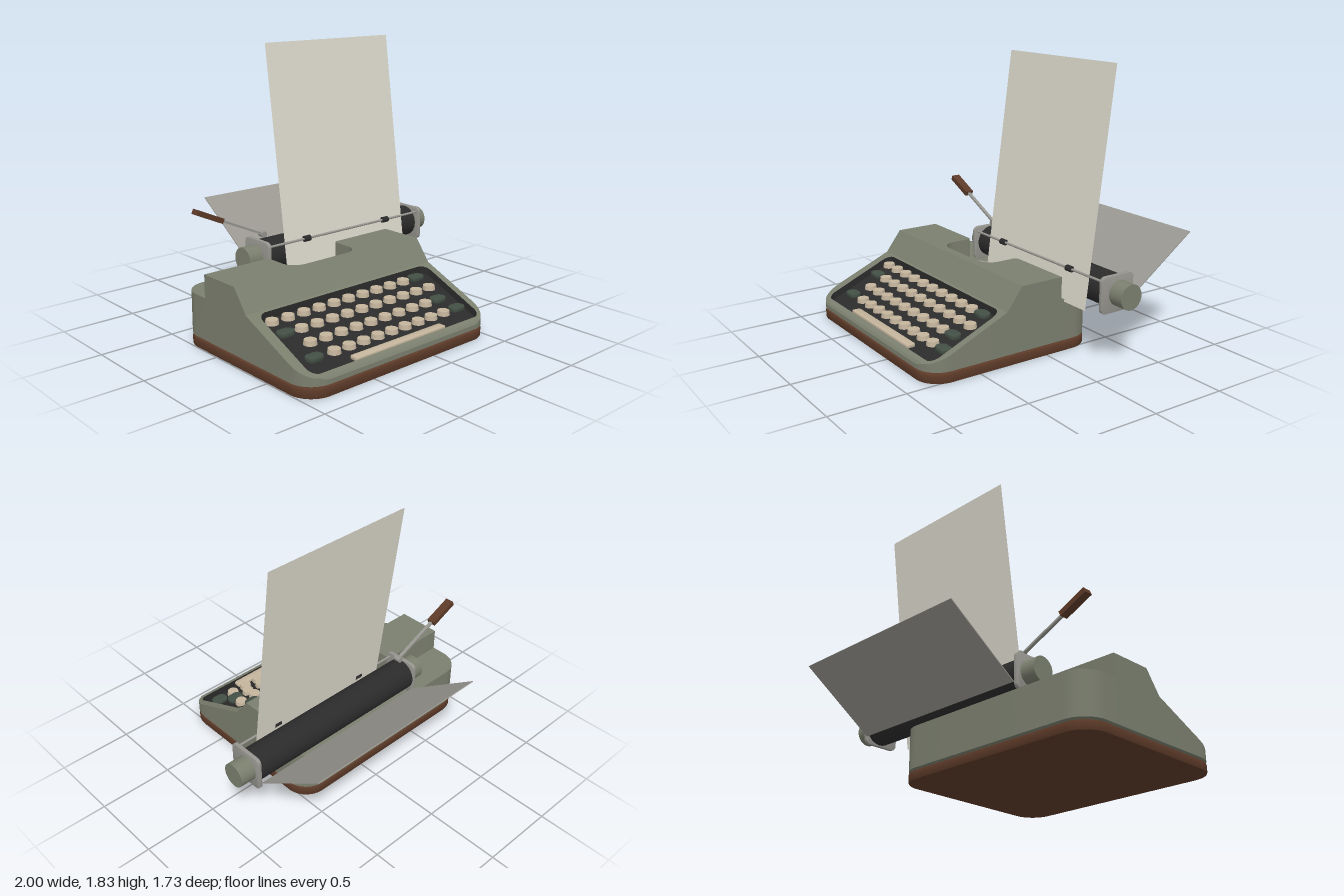
import * as THREE from 'three';
import { toCreasedNormals } from 'three/addons/utils/BufferGeometryUtils.js';

const mat = (color) => new THREE.MeshStandardMaterial({ color });
const enamel = mat(0x7b7f6e), wood = mat(0x5c3a28), dark = mat(0x2b2b2b), metal = mat(0x979690);
const ivory = mat(0xc4b49c), green = mat(0x434f45), paperMat = mat(0xdddacd), tableMat = mat(0x9a9891);
paperMat.side = THREE.DoubleSide;

const CX = -0.2375, BACK = -0.365, FRONT = 0.865, HALF = 0.7625, BOTTOM = 0.075;
const STEP = -0.105, CUT_END = 0.14, WELL0 = 0.325, WELL1 = 0.82, WELL_DEPTH = 0.05;

function add(parent, name, geometry, material, x = 0, y = 0, z = 0) {
  const mesh = new THREE.Mesh(geometry, material);
  mesh.name = name;
  mesh.position.set(x, y, z);
  parent.add(mesh);
  return mesh;
}

// Flat slab with rounded corners in plan; its underside lies on y = 0
function slab(w, d, h, r, bevel) {
  const x = w / 2 - bevel, y = d / 2 - bevel, c = Math.max(r - bevel, 0.002), s = new THREE.Shape();
  s.absarc(x - c, y - c, c, 0, Math.PI / 2);
  s.absarc(c - x, y - c, c, Math.PI / 2, Math.PI);
  s.absarc(c - x, c - y, c, Math.PI, Math.PI * 1.5);
  s.absarc(x - c, c - y, c, Math.PI * 1.5, Math.PI * 2);
  s.closePath();
  const g = new THREE.ExtrudeGeometry(s, {
    depth: h - 2 * bevel, bevelThickness: bevel, bevelSize: bevel, bevelSegments: 2, curveSegments: 10,
  });
  return toCreasedNormals(g.translate(0, 0, bevel).rotateX(-Math.PI / 2), 0.6);
}

// Cylinder lying along x
const rodX = (r, len, sides = 32) => new THREE.CylinderGeometry(r, r, len, sides).rotateZ(Math.PI / 2);

// Height of the casing at depth z
const profile = [[STEP, 0.5], [0.2, 0.5], [0.31, 0.355], [0.83, 0.128], [0.853, 0.121], [FRONT, 0.105]];
function height(z) {
  if (z < STEP) return 0.35;
  for (let i = 1; i < profile.length; i++) {
    const [z0, h0] = profile[i - 1], [z1, h1] = profile[i];
    if (z <= z1) return h0 + (h1 - h0) * (z - z0) / (z1 - z0);
  }
  return 0.105;
}

// Half width of a rounded rectangle at depth z
function roundedHalf(z, z0, z1, half, r) {
  const d = Math.max(0, Math.min(z - z0, z1 - z));
  return d >= r ? half : half - r + Math.sqrt(r * r - (r - d) * (r - d));
}

// Casing cross-section at depth z: outer walls, top and one opening
function section(z, at) {
  const w = roundedHalf(z, BACK, FRONT, HALF, 0.16), h = height(z);
  let half, floor = h, shift = 0;
  if (z <= 0.2) {
    half = roundedHalf(z, -9, CUT_END, 0.277, 0.1);
    if (z < STEP + 0.025) half += 0.025 * (1 - Math.sqrt(Math.max(0, 1 - ((STEP + 0.025 - Math.max(z, STEP)) / 0.025) ** 2)));
    if (z > STEP && z < CUT_END) floor = 0.35;
  } else {
    shift = 0.01;
    half = Math.min(roundedHalf(z, WELL0, WELL1, 0.7025, 0.06), w - 0.03);
    if (z > WELL0 && z < WELL1) floor = h - WELL_DEPTH;
  }
  const l = shift - half, r = shift + half;
  return [[-w, BOTTOM], [-w, h], [l, h], [l, floor], [r, floor], [r, h], [w, h], [w, BOTTOM]]
    .map(([x, y]) => new THREE.Vector3(x + CX, y, at));
}

// Casing lofted from back to front; the keyboard well goes to its own dark liner
function buildCasing(parent) {
  const depths = profile.slice(1).map((p) => p[0]);
  for (let i = 0; i <= 8; i++) {
    const k = 1 - Math.cos(i / 8 * Math.PI / 2);
    depths.push(BACK + 0.16 * k, FRONT - 0.16 * k);
    if (i) depths.push(STEP + 0.025 * i / 8, CUT_END - 0.1 * k, WELL0 + 0.06 * k, WELL1 - 0.06 * k);
  }
  const stations = depths.map((z) => [z, z]);
  for (const z of [STEP, CUT_END, WELL0, WELL1]) stations.push([z - 1e-5, z], [z + 1e-5, z]);
  stations.sort((a, b) => a[0] - b[0]);
  const loops = stations.map(([z, at]) => section(z, at));

  const shell = [], liner = [], t = new THREE.Triangle();
  const quad = (out, a, b, c, d) => {
    for (const tri of [[a, b, c], [a, c, d]]) {
      if (t.set(...tri).getArea() > 1e-9) tri.forEach((p) => out.push(p.x, p.y, p.z));
    }
  };
  for (let s = 0; s + 1 < loops.length; s++) {
    const A = loops[s], B = loops[s + 1], mid = (stations[s][0] + stations[s + 1][0]) / 2;
    for (let i = 0; i < 8; i++) {
      const j = (i + 1) % 8;
      const inWell = i >= 2 && i <= 4 && mid > WELL0 - 1e-6 && mid < WELL1 + 1e-6;
      quad(inWell ? liner : shell, A[i], B[i], B[j], A[j]);
    }
  }
  const first = loops[0], last = loops[loops.length - 1];
  quad(shell, first[0], first[1], first[6], first[7]);
  quad(shell, last[7], last[6], last[1], last[0]);
  for (const [name, points, material] of [['casing', shell, enamel], ['keyboardWell', liner, dark]]) {
    const g = new THREE.BufferGeometry();
    g.setAttribute('position', new THREE.Float32BufferAttribute(points, 3));
    add(parent, name, toCreasedNormals(g, 0.45), material);
  }
}

function buildKeyboard(parent) {
  const keyboard = new THREE.Group();
  keyboard.name = 'keyboard';
  parent.add(keyboard);
  const round = new THREE.CylinderGeometry(0.038, 0.042, 0.03, 24);
  const wide = slab(0.112, 0.08, 0.03, 0.036, 0.005).translate(0, -0.015, 0);
  const stem = new THREE.CylinderGeometry(0.006, 0.006, 0.04, 6);
  const place = (name, g, material, x, z) => {
    const y = height(z) - 0.028;
    add(keyboard, name, g, material, x, y, z);
    add(keyboard, 'keyStem', stem, metal, x, y - 0.018, z);
  };
  // Each row: depth, first x, spacing, count, x of the wide keys
  const rows = [
    [0.37, -0.858, 0.12, 10, [0.34]],
    [0.472, -0.72, 0.12, 10, [-0.84]],
    [0.579, -0.745, 0.12, 9, [0.33]],
    [0.685, -0.655, 0.1155, 9, [-0.805, 0.392]],
  ];
  for (const [z, x0, dx, n, wides] of rows) {
    for (let i = 0; i < n; i++) place('key', round, ivory, x0 + i * dx, z);
    for (const x of wides) place('wideKey', wide, green, x, z);
  }
  add(keyboard, 'spaceBar', slab(0.755, 0.062, 0.024, 0.015, 0.006), ivory, -0.213, 0.112, 0.775);
}

function buildCarriage(parent) {
  const carriage = new THREE.Group();
  carriage.name = 'carriage';
  parent.add(carriage);
  const Y = 0.473, Z = -0.255;
  add(carriage, 'platen', rodX(0.108, 1.35, 40), dark, 0.195, Y, Z);
  const plate = slab(0.235, 0.25, 0.024, 0.035, 0.002).rotateZ(Math.PI / 2);
  for (const [x, knobX] of [[-0.478, -0.55], [0.892, 0.945]]) {
    add(carriage, 'endPlate', plate, metal, x, Y, -0.241);
    add(carriage, 'platenKnob', rodX(0.081, 0.11), enamel, knobX, Y, Z);
  }
  // Paper bail with its rollers
  add(carriage, 'bailRod', rodX(0.008, 1.38, 10), metal, 0.195, 0.556, -0.143);
  for (const x of [-0.163, 0.552]) add(carriage, 'bailRoller', rodX(0.02, 0.05, 16), dark, x, 0.556, -0.143);

  // Sheet leaning back over the platen
  const paper = add(carriage, 'paper', new THREE.PlaneGeometry(1.07, Math.hypot(1.5, 0.205)), paperMat, 0.195, 1.083, -0.228);
  paper.rotation.x = -Math.atan2(0.205, 1.5);

  // Paper table sloping up behind
  const table = add(carriage, 'paperTable', new THREE.BoxGeometry(1.34, 0.006, Math.hypot(0.5, 0.35)), tableMat, 0.195, 0.576, -0.615);
  table.rotation.x = Math.atan2(0.35, 0.5);

  // Return lever: pivot, arm and grip
  const lever = new THREE.Group();
  lever.name = 'returnLever';
  lever.position.set(-0.443, 0.615, Z);
  lever.rotation.z = Math.PI - Math.atan2(0.235, 0.51);
  carriage.add(lever);
  add(lever, 'leverPivot', new THREE.CylinderGeometry(0.02, 0.02, 0.045, 20).rotateX(Math.PI / 2), metal);
  add(lever, 'leverArm', new THREE.BoxGeometry(0.37, 0.014, 0.022), metal, 0.185, 0, 0);
  add(lever, 'leverGrip', new THREE.BoxGeometry(0.21, 0.034, 0.058), wood, 0.457, 0, 0);
}

export function createModel() {
  const model = new THREE.Group();
  model.name = 'typewriter';
  add(model, 'base', slab(2 * HALF, FRONT - BACK, 0.063, 0.16, 0.01), wood, CX, 0, (FRONT + BACK) / 2);
  buildCasing(model);
  // Type basket in the top opening
  add(model, 'typeBasketRing', new THREE.CylinderGeometry(0.172, 0.172, 0.04, 48), metal, CX, 0.37, 0.07);
  add(model, 'typeBasketDisc', new THREE.CylinderGeometry(0.13, 0.13, 0.05, 48), tableMat, CX, 0.372, 0.082);
  buildKeyboard(model);
  buildCarriage(model);
  return model;
}
